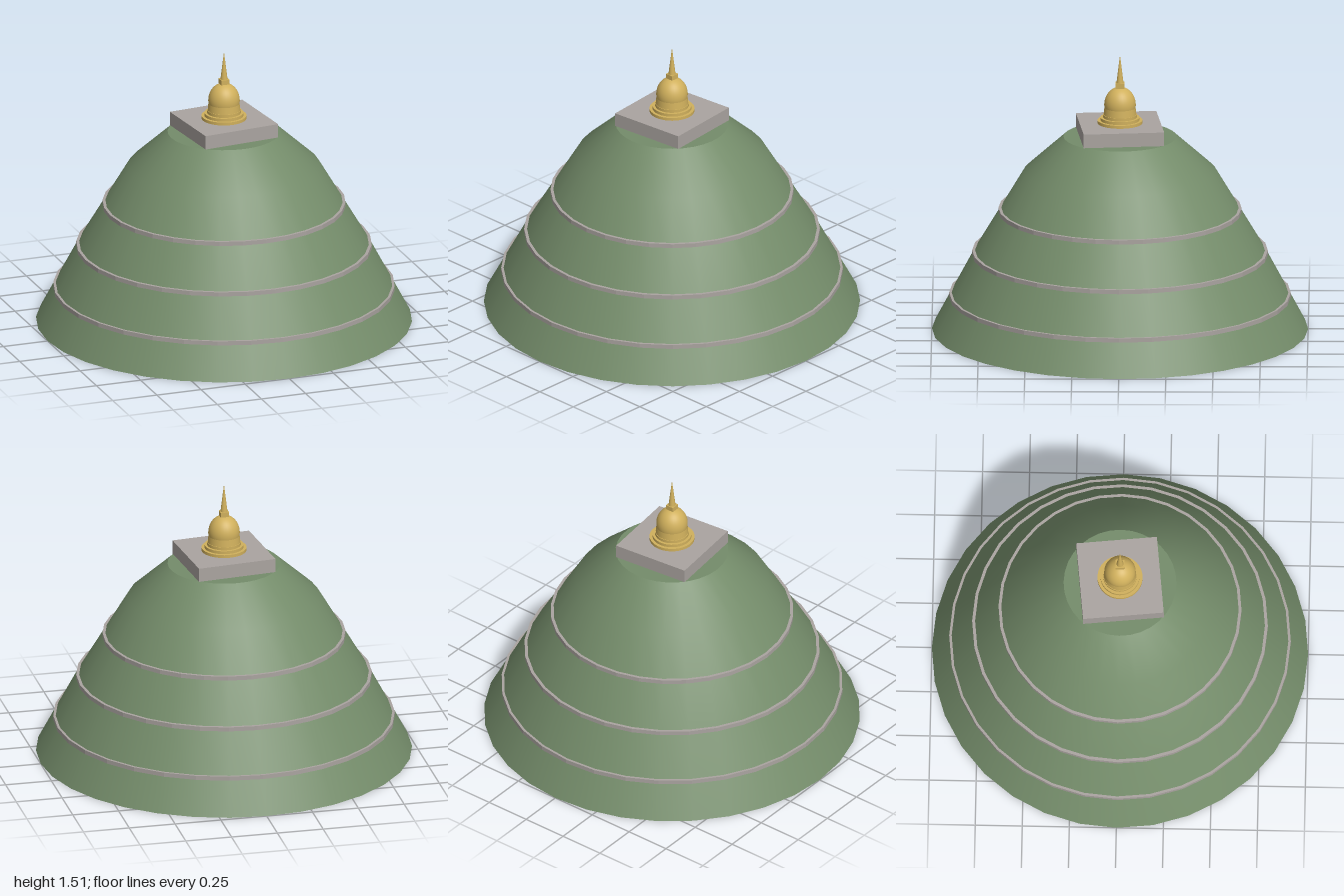
import * as THREE from 'three';

export function createModel() {
  const model = new THREE.Group();
  model.name = 'hilltopShrine';

  const green = new THREE.MeshStandardMaterial({ color: 0x748c6a, side: THREE.DoubleSide });
  const stone = new THREE.MeshStandardMaterial({ color: 0xaaa4a0 });
  const ringStone = new THREE.MeshStandardMaterial({ color: 0xaaa4a0, flatShading: true });
  const gold = new THREE.MeshStandardMaterial({ color: 0xd0b05c });

  const add = (parent, name, geometry, material, y = 0) => {
    const mesh = new THREE.Mesh(geometry, material);
    mesh.name = name;
    mesh.position.y = y;
    parent.add(mesh);
    return mesh;
  };
  const lathe = (points, segments) =>
    new THREE.LatheGeometry(points.map(([r, y]) => new THREE.Vector2(r, y)), segments);

  // Hill: open shell below, flat plateau on top
  const hill = new THREE.Group();
  hill.name = 'hill';
  model.add(hill);
  add(hill, 'hillSlope', lathe([[1, 0], [0.78, 0.415], [0.51, 0.87], [0.3, 1.06]], 32), green);
  add(hill, 'hillPlateau', new THREE.CircleGeometry(0.3, 32).rotateX(-Math.PI / 2), green, 1.06);

  // Terrace rings set into the slope
  [[0.908, 0.187], [0.786, 0.42], [0.646, 0.655]].forEach(([r, y], i) => {
    const inner = r - 0.026, h = 0.0115;
    const section = [[inner, -h], [r, -h], [r, h], [inner, h], [inner, -h]];
    add(model, `terraceRing${i + 1}`, lathe(section, 32), ringStone, y);
  });

  // Square platform, turned slightly
  const platform = add(model, 'platform', new THREE.BoxGeometry(0.43, 0.075, 0.43), stone, 1.0975);
  platform.rotation.y = 0.105;

  // Golden stupa
  const stupa = new THREE.Group();
  stupa.name = 'stupa';
  stupa.position.y = 1.135;
  model.add(stupa);

  // Stepped round base
  [0.12, 0.104, 0.09].forEach((r, i) => {
    add(stupa, `baseStep${i + 1}`, new THREE.CylinderGeometry(r, r, 0.016, 32), gold, 0.008 + i * 0.016);
  });

  // Bell-shaped body with a domed top
  add(stupa, 'drum', new THREE.CylinderGeometry(0.081, 0.087, 0.06, 32, 1, true), gold, 0.075);
  const dome = add(stupa, 'dome',
    new THREE.SphereGeometry(0.084, 32, 14, 0, Math.PI * 2, 0, Math.PI * 0.55), gold, 0.1);
  dome.scale.y = 1.15;

  // Square block and tapering spire
  add(stupa, 'crownBlock', new THREE.BoxGeometry(0.046, 0.026, 0.046), gold, 0.207);
  add(stupa, 'spire', new THREE.ConeGeometry(0.019, 0.155, 16), gold, 0.2975);

  return model;
}
